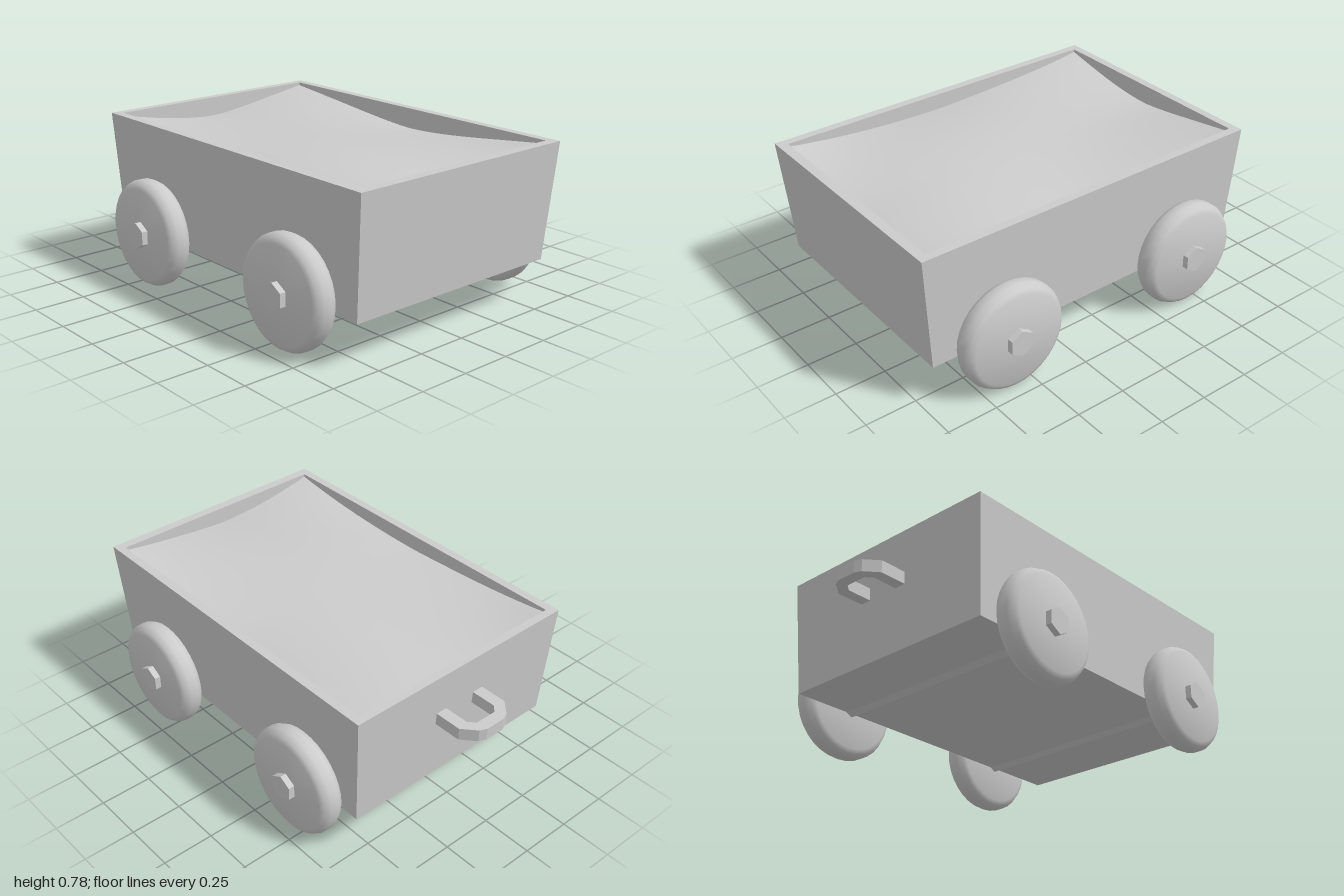
import * as THREE from 'three';
import { toCreasedNormals } from 'three/addons/utils/BufferGeometryUtils.js';

const material = new THREE.MeshStandardMaterial({ color: 0xcccccc });

function add(parent, name, geometry) {
  const mesh = new THREE.Mesh(geometry, material);
  mesh.name = name;
  parent.add(mesh);
  return mesh;
}

// Flat-sided shell through a series of rectangles [x0, x1, z0, z1, y]
function rectangleLoft(rects) {
  const rings = rects.map(([x0, x1, z0, z1, y]) =>
    [[x0, y, z1], [x1, y, z1], [x1, y, z0], [x0, y, z0]]);
  const positions = [];
  for (let r = 0; r < rings.length - 1; r++) {
    for (let i = 0; i < 4; i++) {
      const j = (i + 1) % 4;
      const a = rings[r][i], b = rings[r][j], c = rings[r + 1][j], d = rings[r + 1][i];
      positions.push(...a, ...b, ...c, ...a, ...c, ...d);
    }
  }
  const geometry = new THREE.BufferGeometry();
  geometry.setAttribute('position', new THREE.Float32BufferAttribute(positions, 3));
  geometry.computeVertexNormals();
  return geometry;
}

// Uneven fill: high in the corners, sagging along the rim, gently rolling inside
function loadGeometry(x0, x1, z0, z1) {
  const geometry = new THREE.PlaneGeometry(x1 - x0, z1 - z0, 28, 20).rotateX(-Math.PI / 2);
  const p = geometry.attributes.position;
  for (let i = 0; i < p.count; i++) {
    const u = 2 * p.getX(i) / (x1 - x0), v = 2 * p.getZ(i) / (z1 - z0);
    const corner = Math.pow(Math.abs(u * v), 1.5);
    const crown = 0.035 * (1 - u * u) * (1 - v * v);
    const roll = 0.012 * Math.sin(2.6 * u + 2 * v) * (1 - corner);
    p.setY(i, 0.7 + 0.075 * corner + crown + roll);
  }
  geometry.translate((x0 + x1) / 2, 0, (z0 + z1) / 2);
  geometry.computeVertexNormals();
  return geometry;
}

export function createModel() {
  const group = new THREE.Group();
  group.name = 'cart';

  // Tapered box with an open top and a rim
  add(group, 'body', rectangleLoft([
    [0.1, 0.1, 0, 0, 0.22],
    [-0.763, 0.955, -0.583, 0.583, 0.22],
    [-0.8, 1.0, -0.612, 0.612, 0.79],
    [-0.76, 0.953, -0.57, 0.57, 0.79],
    [-0.76, 0.953, -0.57, 0.57, 0.6],
    [0.1, 0.1, 0, 0, 0.6],
  ]));
  add(group, 'load', loadGeometry(-0.76, 0.953, -0.57, 0.57));

  // U-shaped pull handle with chamfered corners
  const half = [[-0.78, 0.142], [-0.92, 0.142], [-0.985, 0.085], [-1, 0.05]];
  const inner = [[-0.942, 0.055], [-0.91, 0.084], [-0.78, 0.084]];
  const mirror = (points) => points.map(([x, z]) => [x, -z]).reverse();
  const outline = [...half, ...mirror(half), ...mirror(inner), ...inner];
  const handle = new THREE.ExtrudeGeometry(
    new THREE.Shape(outline.map(([x, z]) => new THREE.Vector2(x, z))),
    { depth: 0.06, bevelEnabled: false });
  add(group, 'handle', handle.rotateX(Math.PI / 2).translate(0, 0.585, 0));

  // Rounded disc wheels on hexagonal axles
  const profile = [
    [0, -0.06], [0.225, -0.06], [0.247, -0.048], [0.262, -0.02],
    [0.262, 0.02], [0.247, 0.048], [0.225, 0.06], [0, 0.06],
  ].map(([r, y]) => new THREE.Vector2(r, y));
  const wheel = toCreasedNormals(new THREE.LatheGeometry(profile, 32), 0.6).rotateX(Math.PI / 2);
  const axle = toCreasedNormals(new THREE.CylinderGeometry(0.065, 0.065, 1.47, 6), 0.4)
    .rotateX(Math.PI / 2);
  for (const x of [-0.435, 0.595]) {
    const set = new THREE.Group();
    set.name = x < 0 ? 'handleEndWheels' : 'farEndWheels';
    set.position.set(x, 0.268, 0);
    add(set, 'axle', axle);
    for (const side of [-1, 1]) add(set, 'wheel', wheel).position.z = side * 0.645;
    group.add(set);
  }
  return group;
}
